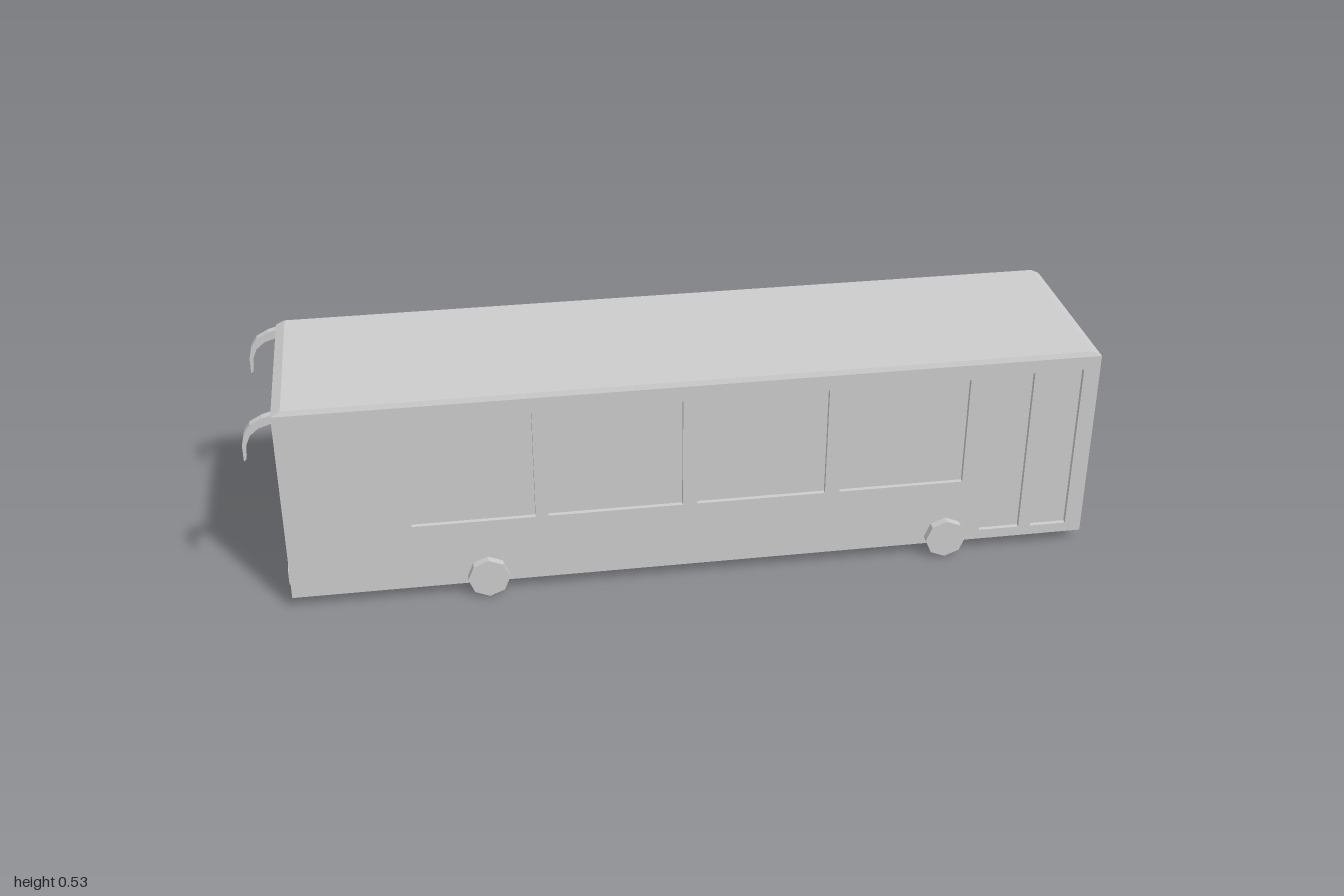
import * as THREE from 'three';

const material = new THREE.MeshStandardMaterial({ color: 0xcccccc, flatShading: true });
const BACK = 1, NOSE = -0.93, HALF = 0.232, FLOOR = 0.03, EAVE = 0.518, TOP = 0.53, RECESS = 0.011;

function add(group, name, geometry) {
  const mesh = new THREE.Mesh(geometry, material);
  mesh.name = name;
  group.add(mesh);
  return mesh;
}

function rectangle(target, [x0, x1, y0, y1]) {
  target.moveTo(x0, y0);
  target.lineTo(x1, y0);
  target.lineTo(x1, y1);
  target.lineTo(x0, y1);
  target.closePath();
  return target;
}

// Flat wall with rectangular openings
function wall(outline, openings) {
  const shape = rectangle(new THREE.Shape(), outline);
  for (const o of openings) shape.holes.push(rectangle(new THREE.Path(), o));
  return new THREE.ExtrudeGeometry(shape, { depth: RECESS, bevelEnabled: false });
}

function box(x0, x1, y0, y1, z0, z1) {
  return new THREE.BoxGeometry(x1 - x0, y1 - y0, z1 - z0)
    .translate((x0 + x1) / 2, (y0 + y1) / 2, (z0 + z1) / 2);
}

export function createModel() {
  const bus = new THREE.Group();
  bus.name = 'bus';

  // Inner body: its surface is the glass seen through the openings
  const inner = HALF - RECESS;
  add(bus, 'innerBody', box(NOSE + RECESS, BACK, FLOOR, EAVE, -inner, inner));

  // Side walls with window and door openings
  const windows = [[-0.64, -0.35], [-0.32, 0], [0.035, 0.345], [0.38, 0.685]]
    .map(([a, b]) => [a, b, 0.2, 0.48]);
  const door = ([a, b]) => [a, b, 0.055, 0.485];
  const rearDoors = [[0.74, 0.84], [0.87, 0.96]].map(door);
  const frontDoors = [[-0.775, -0.683], [-0.89, -0.8]].map(door);
  const side = [NOSE, BACK, FLOOR, EAVE];
  add(bus, 'driverSideWall', wall(side, [...windows, ...rearDoors]).translate(0, 0, inner));
  add(bus, 'doorSideWall', wall(side, [...windows, ...rearDoors, ...frontDoors]).translate(0, 0, -HALF));

  // Nose wall with the windscreen opening
  add(bus, 'noseWall', wall([-inner, inner, FLOOR, EAVE], [[-0.21, 0.21, 0.11, 0.5]])
    .rotateY(-Math.PI / 2).translate(NOSE + RECESS, 0, 0));

  // Roof with bevelled edges
  const roof = box(NOSE, BACK, EAVE, TOP, -HALF, HALF);
  const p = roof.attributes.position;
  for (let i = 0; i < p.count; i++) {
    if (p.getY(i) < TOP - 0.001) continue;
    p.setX(i, p.getX(i) > 0 ? BACK - 0.022 : NOSE + 0.022);
    p.setZ(i, Math.sign(p.getZ(i)) * (HALF - 0.004));
  }
  add(bus, 'roof', roof);

  // Curved mirror arm profile
  const arm = new THREE.Shape();
  arm.moveTo(-0.915, 0.522);
  arm.lineTo(-0.95, 0.512);
  arm.lineTo(-0.978, 0.497);
  arm.lineTo(-0.993, 0.475);
  arm.lineTo(-1, 0.445);
  arm.lineTo(-1, 0.405);
  arm.lineTo(-0.994, 0.41);
  arm.lineTo(-0.991, 0.445);
  arm.lineTo(-0.98, 0.47);
  arm.lineTo(-0.96, 0.487);
  arm.lineTo(-0.915, 0.502);

  for (const s of [-1, 1]) {
    const name = s > 0 ? 'Left' : 'Right';
    const mirror = new THREE.ExtrudeGeometry(arm, { depth: 0.02, bevelEnabled: false });
    add(bus, 'mirror' + name, mirror.translate(0, 0, s * 0.212 - 0.01));
    add(bus, 'headlight' + name, box(NOSE - 0.005, NOSE + 0.003, 0.05, 0.088, s * 0.157 - 0.047, s * 0.157 + 0.047));

    // Eight-sided wheels
    for (const x of [-0.467, 0.65]) {
      const wheel = add(bus, 'wheel', new THREE.CylinderGeometry(0.05, 0.05, 0.036, 8).rotateX(Math.PI / 2));
      wheel.position.set(x, 0.05, s * 0.233);
    }
  }
  return bus;
}
